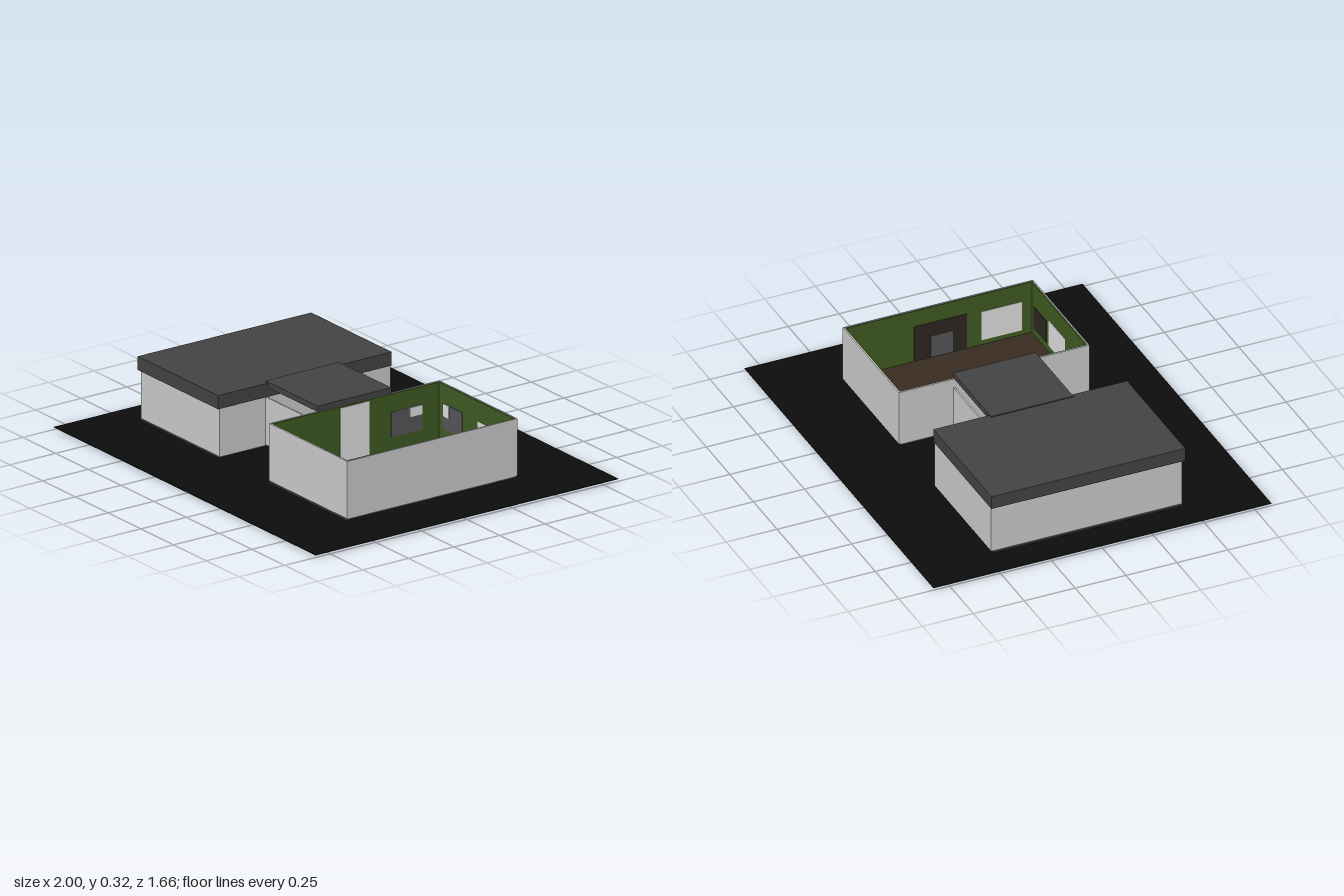
import * as THREE from 'three';

const mat = (name, color) => {
  const m = new THREE.MeshStandardMaterial({ color });
  m.name = name;
  return m;
};

export function createModel() {
  const model = new THREE.Group();
  model.name = 'house';
  const ground = mat('black ground', 0x0d0d0d);
  const roof = mat('dark grey roof', 0x434343);
  const plaster = mat('light grey plaster', 0xcacaca);
  const green = mat('green paint', 0x3e5a22);
  const wood = mat('brown floor', 0x382c22);
  const pale = mat('pale pane', 0xdedede);
  const dark = mat('dark panel', 0x2c2620);
  const grey = mat('grey panel', 0x55555a);

  // Box given by its limits on each axis
  const box = (name, material, x0, x1, y0, y1, z0, z1, parent = model) => {
    const mesh = new THREE.Mesh(new THREE.BoxGeometry(x1 - x0, y1 - y0, z1 - z0), material);
    mesh.position.set((x0 + x1) / 2, (y0 + y1) / 2, (z0 + z1) / 2);
    mesh.name = name;
    parent.add(mesh);
    return mesh;
  };

  // Ground sheet
  box('ground', ground, -1, 1, 0.01, 0.013, -0.83, 0.83);

  // Foundation slabs
  box('closedWingSlab', roof, -0.85, -0.25, 0, 0.02, -0.465, 0.465);
  box('corridorSlab', roof, -0.25, 0.13, 0, 0.02, -0.2, 0.2);
  box('openRoomSlab', roof, 0.13, 0.725, 0, 0.02, -0.465, 0.465);

  // Four walls, an outer plaster skin and optional inner lining
  const T = 0.006;
  const ring = (name, material, x0, x1, y0, y1, z0, z1) => {
    const g = new THREE.Group();
    g.name = name;
    box('frontWall', material, x0, x1, y0, y1, z1 - T, z1, g);
    box('backWall', material, x0, x1, y0, y1, z0, z0 + T, g);
    box('rightWall', material, x0, x0 + T, y0, y1, z0 + T, z1 - T, g);
    box('leftWall', material, x1 - T, x1, y0, y1, z0 + T, z1 - T, g);
    model.add(g);
  };

  // Closed wing with its deep flat roof
  ring('closedWingWalls', plaster, -0.845, -0.247, 0.02, 0.26, -0.475, 0.462);
  box('closedWingFloor', wood, -0.84, -0.25, 0.02, 0.024, -0.468, 0.456);
  box('closedWingRoof', roof, -0.855, -0.24, 0.25, 0.315, -0.478, 0.474);

  // Corridor with low side walls and a raised roof
  for (const s of [-1, 1]) {
    box('corridorWall', plaster, -0.247, 0.132, 0.02, 0.248, s * 0.204 - 0.004, s * 0.204 + 0.004);
  }
  box('corridorFloor', wood, -0.247, 0.132, 0.02, 0.024, -0.2, 0.2);
  box('corridorRoof', roof, -0.26, 0.138, 0.293, 0.32, -0.204, 0.2);

  // Open room
  const [X0, X1, Z0, Z1, H] = [0.13, 0.726, -0.475, 0.46, 0.293];
  ring('openRoomWalls', plaster, X0, X1, 0.02, H, Z0, Z1);
  ring('openRoomLining', green, X0 + T, X1 - T, 0.02, H - 0.002, Z0 + T, Z1 - T);
  box('openRoomFloor', wood, X0 + T, X1 - T, 0.02, 0.026, Z0 + T, Z1 - T);

  // Thin wall panels: [side, material, start, end, bottom, top, layer]
  const panels = [
    ['back', grey, 0.175, 0.32, 0.08, 0.2, 1],
    ['back', pale, 0.175, 0.22, 0.14, 0.2, 2],
    ['back', pale, 0.44, 0.62, 0.06, 0.195, 1],
    ['front', pale, 0.36, 0.535, 0.06, 0.195, 1],
    ['front', dark, 0.56, 0.69, 0.06, 0.175, 1],
    ['left', pale, 0.2, 0.4, 0.05, 0.2, 1],
    ['left', dark, -0.13, 0.13, 0.03, 0.21, 1],
    ['left', grey, -0.05, 0.06, 0.03, 0.14, 2],
    ['right', grey, -0.37, -0.2, 0.085, 0.205, 1],
    ['right', pale, -0.37, -0.3, 0.16, 0.205, 2],
    ['right', pale, -0.08, 0.08, 0.03, 0.285, 1],
  ];
  for (const [side, m, a, b, y0, y1, layer] of panels) {
    const d = 2 * T + 0.002 * layer;
    if (side === 'back') box('backPanel', m, a, b, y0, y1, Z0 + T, Z0 + d);
    if (side === 'front') box('frontPanel', m, a, b, y0, y1, Z1 - d, Z1 - T);
    if (side === 'left') box('leftPanel', m, X1 - d, X1 - T, y0, y1, a, b);
    if (side === 'right') box('doorwayPanel', m, X0 + T, X0 + d, y0, y1, a, b);
  }
  return model;
}
